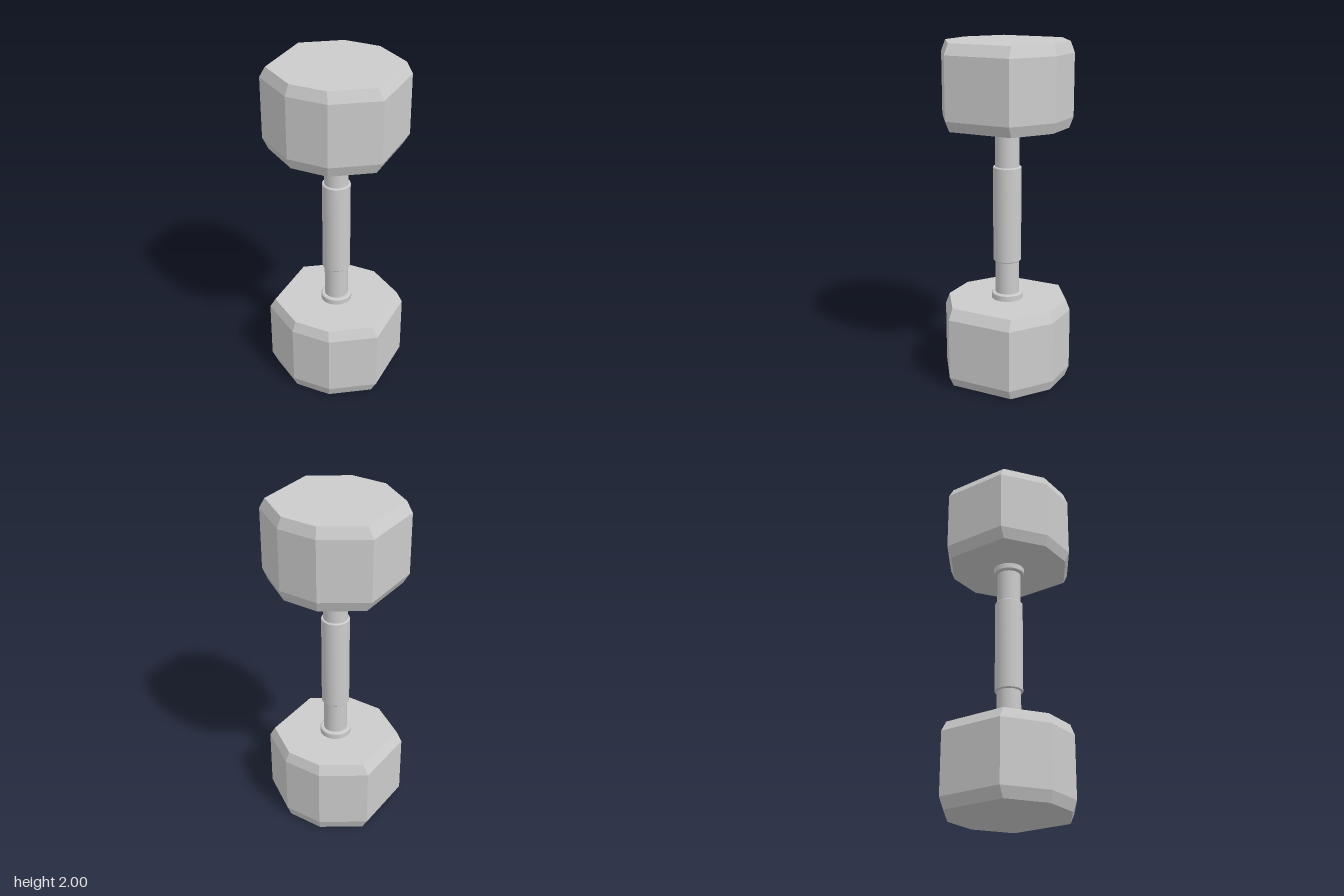
import * as THREE from 'three';
import { toCreasedNormals } from 'three/addons/utils/BufferGeometryUtils.js';

const flat = new THREE.MeshStandardMaterial({ color: 0xcccccc, flatShading: true });
const smooth = new THREE.MeshStandardMaterial({ color: 0xcccccc });

// Eight-sided ring, going round from +x towards +z
function octagon(y, sideX, sideZ, endX, endZ) {
  return [
    [sideX, -sideZ], [sideX, sideZ], [endX, endZ], [-endX, endZ],
    [-sideX, sideZ], [-sideX, -sideZ], [-endX, -endZ], [endX, -endZ],
  ].map(([x, z]) => [x, y, z]);
}

// Weight head: four octagon rings joined by quads, capped at both ends
function headGeometry(bottom, top, chamfer) {
  const inner = [0.322, 0.19, 0.108, 0.336];
  const outer = [0.357, 0.195, 0.119, 0.357];
  const rings = [
    octagon(bottom, ...inner),
    octagon(bottom + chamfer, ...outer),
    octagon(top - chamfer, ...outer),
    octagon(top, ...inner),
  ];
  const positions = [];
  const triangle = (a, b, c) => positions.push(...a, ...b, ...c);
  for (let r = 0; r < 3; r++) {
    for (let i = 0; i < 8; i++) {
      const j = (i + 1) % 8;
      const [a, b, c, d] = [rings[r][i], rings[r][j], rings[r + 1][j], rings[r + 1][i]];
      triangle(a, d, b);
      triangle(b, d, c);
    }
  }
  for (let i = 1; i < 7; i++) {
    triangle(rings[3][0], rings[3][i + 1], rings[3][i]);
    triangle(rings[0][0], rings[0][i], rings[0][i + 1]);
  }
  const geometry = new THREE.BufferGeometry();
  geometry.setAttribute('position', new THREE.Float32BufferAttribute(positions, 3));
  geometry.computeVertexNormals();
  return geometry;
}

// Round part with a small bevel at each end
function roundGeometry(radius, bottom, top, bevel) {
  const profile = [
    [0, bottom], [radius - bevel, bottom], [radius, bottom + bevel],
    [radius, top - bevel], [radius - bevel, top], [0, top],
  ].map(([x, y]) => new THREE.Vector2(x, y));
  return toCreasedNormals(new THREE.LatheGeometry(profile, 40), 0.5);
}

export function createModel() {
  const group = new THREE.Group();
  const add = (name, geometry, material) => {
    const mesh = new THREE.Mesh(geometry, material);
    mesh.name = name;
    group.add(mesh);
  };

  // Weights
  add('lowerHead', headGeometry(0, 0.487, 0.062), flat);
  add('upperHead', headGeometry(1.52, 2, 0.062), flat);

  // Handle: bar, thicker grip and a collar against each head
  add('bar', roundGeometry(0.07, 0.48, 1.53, 0.002), smooth);
  add('grip', roundGeometry(0.082, 0.72, 1.287, 0.005), smooth);
  add('lowerCollar', roundGeometry(0.092, 0.48, 0.525, 0.006), smooth);
  add('upperCollar', roundGeometry(0.092, 1.482, 1.527, 0.006), smooth);

  return group;
}
